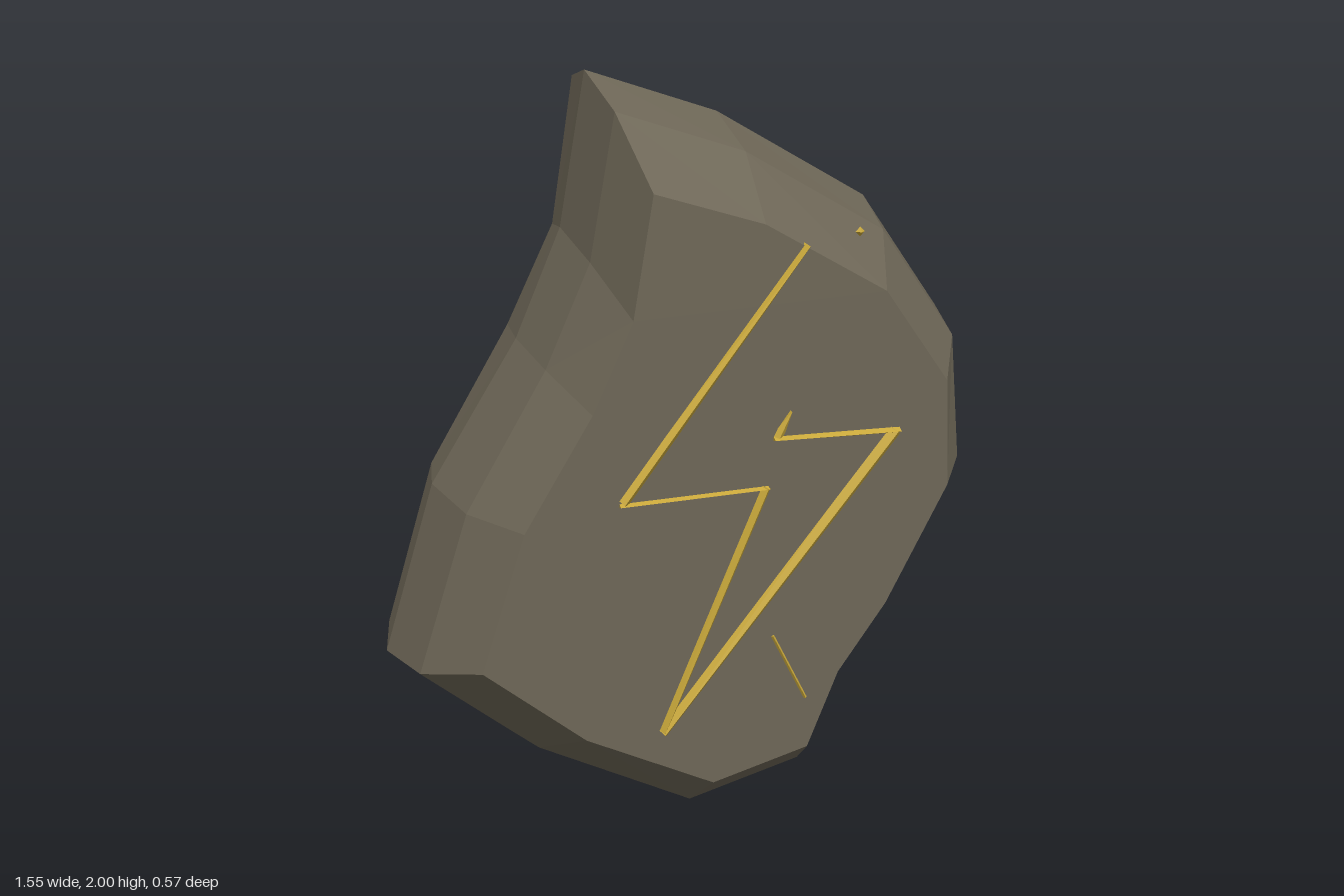
import * as THREE from 'three';
import { ConvexGeometry } from 'three/addons/geometries/ConvexGeometry.js';

// Clockwise outlines seen from the front: widest girth [x, y, back z] and front face [x, y]
const GIRTH = [
  [-0.21, 2.0, -0.27], [0.12, 1.89, -0.275], [0.52, 1.66, -0.245], [0.745, 1.35, -0.28],
  [0.775, 1.0, -0.26], [0.59, 0.6, -0.245], [0.41, 0.35, -0.27], [0.315, 0.085, -0.275],
  [-0.02, 0.005, -0.24], [-0.46, 0.25, -0.275], [-0.775, 0.55, -0.255], [-0.63, 1.0, -0.26],
  [-0.4, 1.36, -0.285], [-0.28, 1.63, -0.245],
];
const FACE = [
  [-0.155, 1.775], [0.11, 1.69], [0.42, 1.51], [0.595, 1.27], [0.615, 0.99], [0.46, 0.68],
  [0.335, 0.5], [0.255, 0.29], [-0.005, 0.23], [-0.34, 0.42], [-0.59, 0.65], [-0.475, 1.0],
  [-0.305, 1.275], [-0.205, 1.49],
];
const FRONT_Z = 0.265;

// One cross-section: t = 0 is the widest outline, t = 1 the front face
function ring(t, zOf) {
  return GIRTH.map((g, i) => new THREE.Vector3(
    THREE.MathUtils.lerp(g[0], FACE[i][0], t),
    THREE.MathUtils.lerp(g[1], FACE[i][1], t), zOf(g, i)));
}

function stoneGeometry() {
  const rings = [
    ring(1, () => FRONT_Z),
    ring(0.31, (g, i) => 0.09 + 0.015 * Math.sin(i * 1.9)),
    ring(0, () => -0.115),
    ring(0.14, (g) => g[2]),
  ];
  const n = GIRTH.length;
  const points = [];
  // Side bands
  for (let r = 0; r < rings.length - 1; r++) {
    for (let i = 0; i < n; i++) {
      const j = (i + 1) % n;
      const a = rings[r][i], b = rings[r][j], c = rings[r + 1][j], d = rings[r + 1][i];
      points.push(a, b, d, b, c, d);
    }
  }
  // Front and back caps
  const cap = (loop, side) => {
    const flat = loop.map((p) => new THREE.Vector2(p.x, p.y));
    for (const [a, b, c] of THREE.ShapeUtils.triangulateShape(flat, [])) {
      const area = THREE.ShapeUtils.area([flat[a], flat[b], flat[c]]);
      if (area * side > 0) points.push(loop[a], loop[b], loop[c]);
      else points.push(loop[a], loop[c], loop[b]);
    }
  };
  cap(rings[0], 1);
  cap(rings[3], -1);
  const geometry = new THREE.BufferGeometry().setFromPoints(points);
  geometry.computeVertexNormals();
  return geometry;
}

// Tapered raised strip with a ridge along its middle
function ridgeGeometry([x0, y0], [x1, y1], w0, w1, height) {
  const a = new THREE.Vector3(x0, y0, FRONT_Z - 0.005);
  const b = new THREE.Vector3(x1, y1, FRONT_Z - 0.005);
  const dir = b.clone().sub(a).normalize();
  const across = new THREE.Vector3(-dir.y, dir.x, 0);
  const points = [];
  for (const [p, w] of [[a, w0], [b, w1]]) {
    points.push(p.clone().addScaledVector(across, w / 2), p.clone().addScaledVector(across, -w / 2));
    const top = p.clone();
    top.z = FRONT_Z + height;
    points.push(top);
  }
  return new ConvexGeometry(points);
}

export function createModel() {
  const group = new THREE.Group();
  const stone = new THREE.MeshStandardMaterial({ color: 0x6e6757, flatShading: true });
  stone.name = 'stone';
  const gold = new THREE.MeshStandardMaterial({ color: 0xc9a83a, flatShading: true });
  gold.name = 'gold';

  const add = (name, geometry, material) => {
    const mesh = new THREE.Mesh(geometry, material);
    mesh.name = name;
    group.add(mesh);
    return mesh;
  };
  add('stoneSlab', stoneGeometry(), stone);

  // Zigzag inlay: start, end, widths, height
  const strips = [
    [[0.215, 1.635], [-0.235, 1.047], 0.02, 0.034, 0.014],
    [[-0.245, 1.043], [0.13, 1.043], 0.012, 0.012, 0.014],
    [[0.125, 1.045], [-0.14, 0.41], 0.03, 0.026, 0.016],
    [[-0.14, 0.405], [0.462, 1.155], 0.034, 0.042, 0.017],
    [[0.472, 1.155], [0.14, 1.168], 0.018, 0.014, 0.016],
    [[0.15, 1.165], [0.183, 1.235], 0.034, 0.004, 0.01],
    [[0.15, 0.635], [0.245, 0.44], 0.016, 0.016, 0.006],
  ];
  strips.forEach(([a, b, w0, w1, h], i) =>
    add(`inlayStrip${i + 1}`, ridgeGeometry(a, b, w0, w1, h), gold));

  // Small gold flecks on the bevelled rim
  [[0.395, 1.63, 0.152], [0.335, 0.41, 0.192]].forEach((p, i) =>
    add(`goldFleck${i + 1}`, new THREE.OctahedronGeometry(0.012), gold).position.set(...p));

  return group;
}
